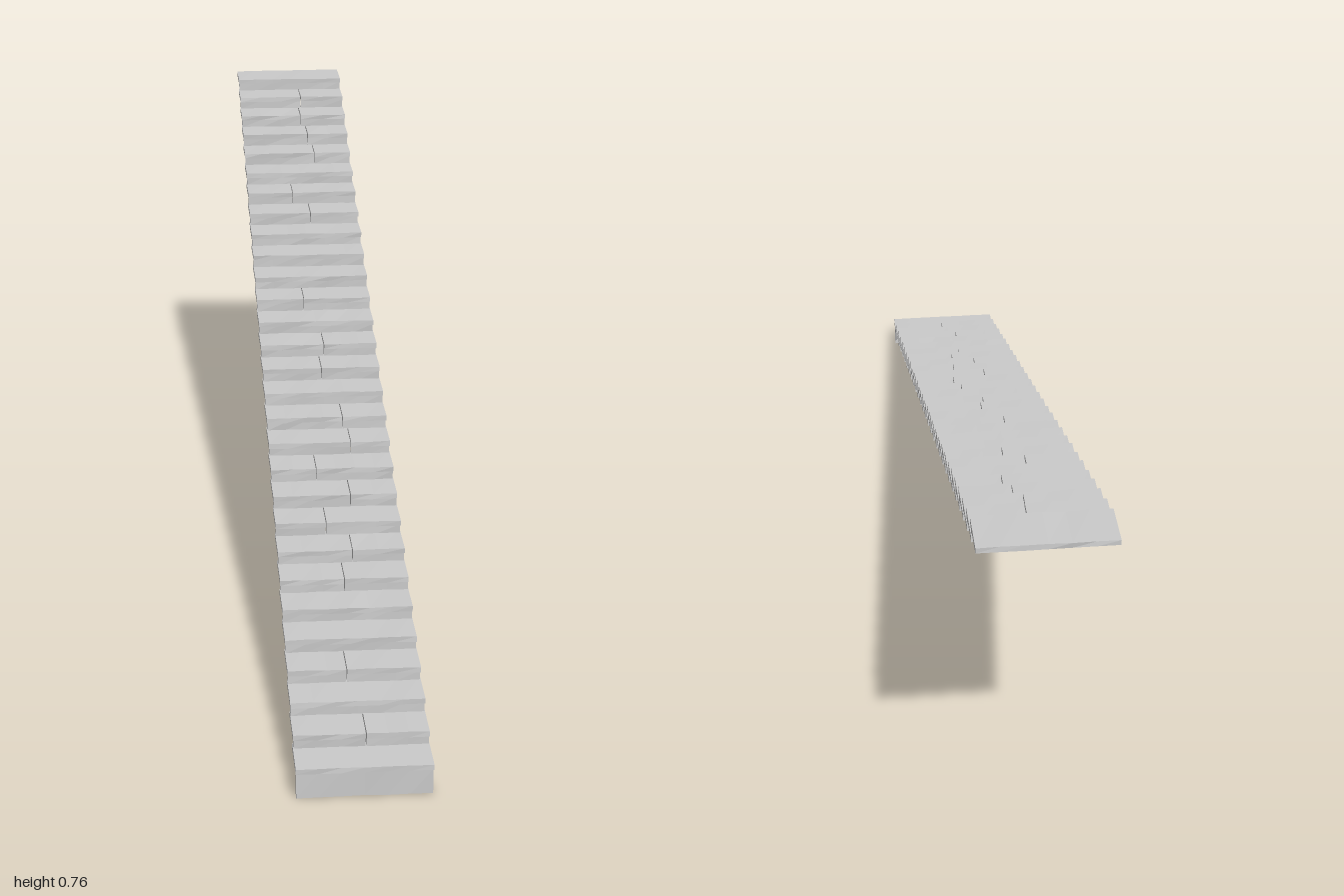
import * as THREE from 'three';

const STEPS = 29, WIDTH = 0.228, LENGTH = 1.986;
const TREAD_DEPTH = 0.09, TREAD_THICK = 0.011, FIRST_TOP = 0.056, TOP = 0.76;
const RISE = (TOP - FIRST_TOP) / (STEPS - 1);
const RUN = (LENGTH - TREAD_DEPTH) / (STEPS - 1);
const RISER_THICK = 0.017, NOSING = 0.004, GAP = 0.0015;

// sideways place of the joint in each two-plank step; all others are one piece
const JOINTS = {
  1: 0.008, 3: -0.013, 6: 0, 7: 0.02, 8: -0.022, 9: 0.028, 10: -0.03, 11: 0.04,
  12: 0.03, 14: 0, 15: 0.01, 17: -0.02, 21: 0.013, 22: -0.02, 24: 0.036,
  25: 0.026, 26: 0.015, 27: 0.02,
};

const material = new THREE.MeshStandardMaterial({ color: 0xcccccc, flatShading: true });

// repeatable value from 0 to 1 for a vertex, equal for vertices that coincide
function hash(x, y, z, seed) {
  const s = Math.sin(Math.round(x * 1e4) * 12.99 + Math.round(y * 1e4) * 78.23
    + Math.round(z * 1e4) * 37.72 + seed * 4.17) * 43758.5453;
  return s - Math.floor(s);
}

// hewn block between two x values, with its edges slightly worn inwards
function block(name, x0, x1, y0, y1, z0, z1, seed) {
  const w = x1 - x0, h = y1 - y0, d = z1 - z0;
  const geo = new THREE.BoxGeometry(w, h, d, Math.max(2, Math.round(w / 0.04)), 1, 1);
  const p = geo.attributes.position;
  for (let i = 0; i < p.count; i++) {
    const x = p.getX(i), y = p.getY(i), z = p.getZ(i);
    p.setY(i, y - Math.sign(y) * 0.0014 * hash(x, y, z, seed));
    p.setZ(i, z - Math.sign(z) * 0.0014 * hash(x, y, z, seed + 50));
  }
  geo.computeVertexNormals();
  const mesh = new THREE.Mesh(geo, material);
  mesh.name = name;
  mesh.position.set((x0 + x1) / 2, (y0 + y1) / 2, (z0 + z1) / 2);
  return mesh;
}

export function createModel() {
  const model = new THREE.Group();
  model.name = 'staircase';
  const flight = new THREE.Group();
  flight.name = 'flight';
  flight.rotation.y = -0.144;
  model.add(flight);

  for (let i = 0; i < STEPS; i++) {
    const step = new THREE.Group();
    step.name = 'step' + (i + 1);
    const top = FIRST_TOP + i * RISE, front = LENGTH / 2 - i * RUN;
    const under = top - TREAD_THICK;
    const half = WIDTH / 2;

    // tread planks, split where the step has a joint
    const joint = JOINTS[i];
    const spans = joint === undefined ? [[-half, half]]
      : [[-half, joint - GAP / 2], [joint + GAP / 2, half]];
    spans.forEach(([a, b], k) => {
      step.add(block('tread', a, b, under, top, front - TREAD_DEPTH, front, i * 3 + k));
      // riser, set back below the nosing and standing on the tread beneath
      const bottom = i === 0 ? 0 : top - RISE - 0.002;
      step.add(block('riser', a + (k === 0 ? 0.001 : 0), b - (k === spans.length - 1 ? 0.001 : 0),
        bottom, under + 0.002, front - NOSING - RISER_THICK, front - NOSING, i * 3 + k + 100));
    });
    flight.add(step);
  }
  return model;
}
